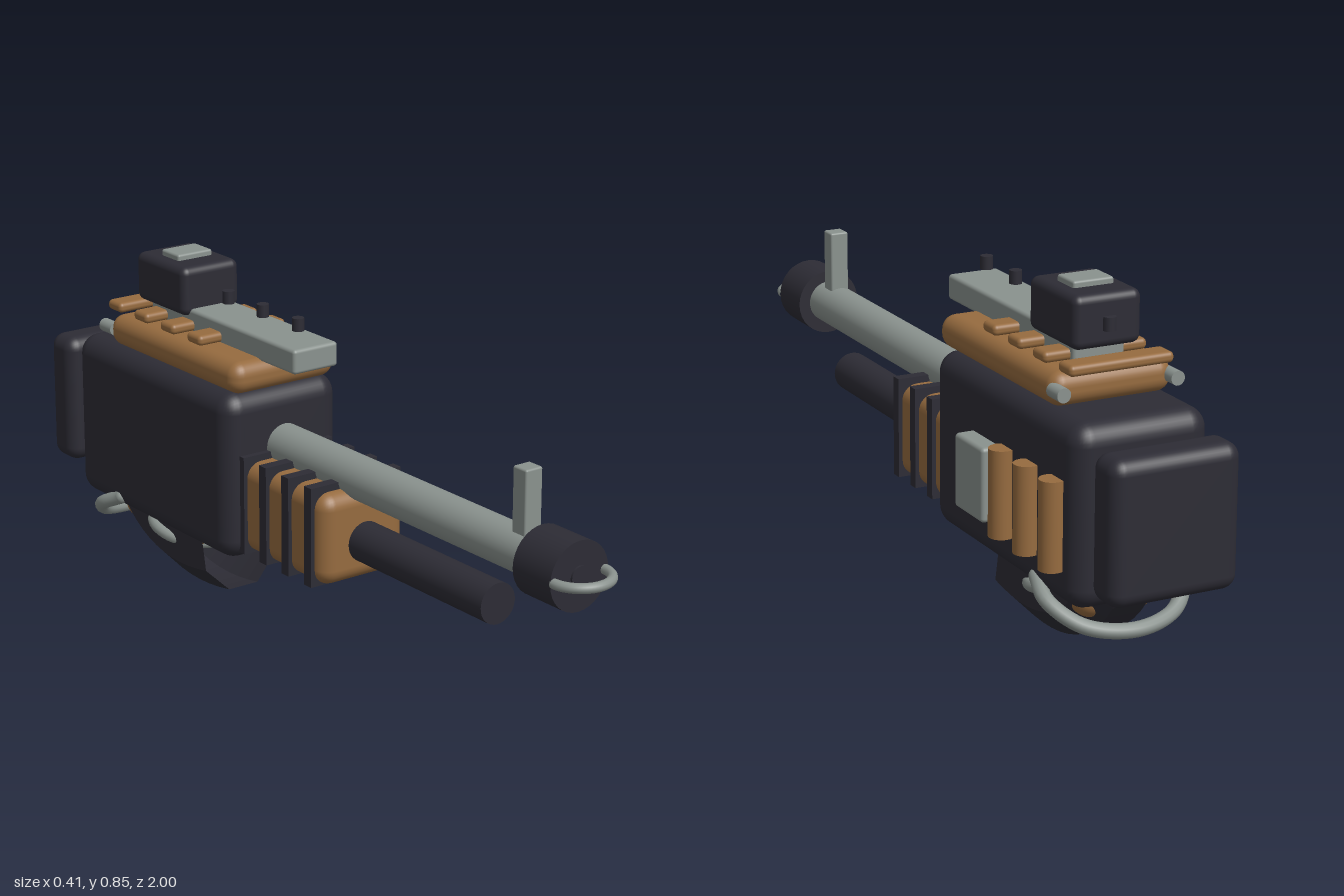
import * as THREE from 'three';
import { RoundedBoxGeometry } from 'three/addons/geometries/RoundedBoxGeometry.js';

const CX = -0.015; // centre plane of the body

export function createModel() {
  const model = new THREE.Group();
  model.name = 'heavyRifle';

  const material = (name, color) => {
    const m = new THREE.MeshStandardMaterial({ color });
    m.name = name;
    return m;
  };
  const dark = material('darkMetal', 0x2d2c35);
  const brown = material('bronze', 0x966b3f);
  const grey = material('greySteel', 0x8a928e);
  dark.side = THREE.DoubleSide; // the magazine is an open tube

  const add = (name, geometry, mat, x = 0, y = 0, z = 0) => {
    const mesh = new THREE.Mesh(geometry, mat);
    mesh.name = name;
    mesh.position.set(x, y, z);
    model.add(mesh);
    return mesh;
  };
  // Box from its bounds; r rounds the edges
  const box = (name, mat, [x0, x1], [y0, y1], [z0, z1], r = 0) => {
    const size = [x1 - x0, y1 - y0, z1 - z0];
    const geometry = r ? new RoundedBoxGeometry(...size, 4, r) : new THREE.BoxGeometry(...size);
    return add(name, geometry, mat, (x0 + x1) / 2, (y0 + y1) / 2, (z0 + z1) / 2);
  };
  // Cylinder along z
  const rod = (name, mat, r, y, z0, z1, x = CX) =>
    add(name, new THREE.CylinderGeometry(r, r, z1 - z0, 32).rotateX(Math.PI / 2), mat, x, y, (z0 + z1) / 2);

  // Body and stock
  box('receiver', dark, [-0.185, 0.155], [0.175, 0.6], [-0.855, -0.17], 0.05);
  box('stockPad', dark, [-0.175, 0.145], [0.23, 0.565], [-1, -0.895], 0.035);

  // Barrel, muzzle and front sight
  rod('barrel', grey, 0.053, 0.452, -0.25, 0.8);
  rod('muzzle', dark, 0.083, 0.45, 0.79, 0.915);
  rod('bore', dark, 0.025, 0.45, 0.9, 0.92);
  add('muzzleRing', new THREE.TorusGeometry(0.073, 0.012, 12, 32, Math.PI).rotateX(Math.PI / 2),
    grey, CX, 0.45, 0.913);
  box('frontSight', grey, [-0.039, 0.009], [0.49, 0.653], [0.714, 0.76], 0.005);

  // Lower tube and ribbed handguard
  rod('lowerTube', dark, 0.05, 0.298, 0.1, 0.645);
  box('handguard', brown, [-0.138, 0.108], [0.2, 0.43], [-0.2, 0.155], 0.04);
  for (const z of [0.104, 0.013, -0.078, -0.169])
    box('handguardRib', dark, [-0.148, 0.118], [0.198, 0.447], [z - 0.014, z + 0.014]);

  // Top cover with cross bars, rail and pins
  box('topCover', brown, [-0.168, 0.138], [0.6, 0.68], [-0.72, -0.16], 0.035);
  for (let i = 0; i < 4; i++) {
    const z = -0.725 + i * 0.118;
    box('coverBar', brown, [-0.145, 0.115], [0.68, 0.706], [z - 0.03, z + 0.03], 0.011);
  }
  for (const side of [-1, 1])
    rod('coverStud', grey, 0.017, 0.642, -0.75, -0.7, CX + side * 0.142);
  box('rail', grey, [-0.08, 0.05], [0.672, 0.733], [-0.65, -0.04], 0.009);
  for (let i = 0; i < 5; i++)
    add('railPin', new THREE.CylinderGeometry(0.015, 0.015, 0.032, 16), dark, CX, 0.771, -0.113 - i * 0.145);

  // Rear sight block
  box('sightBlock', dark, [-0.1, 0.07], [0.714, 0.838], [-0.69, -0.475], 0.02);
  box('sightCap', grey, [-0.066, 0.036], [0.825, 0.853], [-0.622, -0.546], 0.006);

  // Plate and grips on the left side
  box('sidePlate', grey, [0.14, 0.2], [0.283, 0.46], [-0.508, -0.37], 0.01);
  for (const z of [-0.54, -0.657, -0.774])
    add('sideGrip', new THREE.CylinderGeometry(0.03, 0.03, 0.208, 24), brown, 0.168, 0.365, z);

  // Curved magazine: an open octagonal tube bent along a curve
  const path = new THREE.QuadraticBezierCurve(
    new THREE.Vector2(-0.373, 0.125), new THREE.Vector2(-0.65, 0.07), new THREE.Vector2(-0.75, 0.27));
  let shell = new THREE.CylinderGeometry(0.114, 0.114, 1, 8, 14, true, Math.PI / 8);
  const p = shell.attributes.position;
  for (let i = 0; i < p.count; i++) {
    const t = THREE.MathUtils.clamp(0.5 - p.getY(i), 0, 1);
    const c = path.getPoint(t), d = path.getTangent(t), h = p.getZ(i);
    p.setXYZ(i, p.getX(i), c.y - d.x * h, c.x + d.y * h);
  }
  shell = shell.toNonIndexed();
  shell.computeVertexNormals();
  add('magazine', shell, dark, CX);
  box('magazineCore', brown, [-0.115, 0.085], [0.11, 0.25], [-0.765, -0.43], 0.045);
  const ring = add('magazineRing', new THREE.TorusGeometry(0.11, 0.015, 12, 40).rotateX(Math.PI / 2),
    grey, CX, 0.135, -0.562);
  ring.rotation.x = 0.2;

  // Carrying loop under the rear
  const half = [[0.16, 0.205, -0.665], [0.172, 0.172, -0.735], [0.115, 0.125, -0.802]];
  const points = [
    ...half.map(([x, y, z]) => new THREE.Vector3(-x, y, z)),
    new THREE.Vector3(0, 0.108, -0.832),
    ...half.slice().reverse().map(([x, y, z]) => new THREE.Vector3(x, y, z)),
  ];
  add('carryLoop', new THREE.TubeGeometry(new THREE.CatmullRomCurve3(points), 48, 0.018, 12), grey, CX);
  for (const [x, y, z] of [points[0], points[6]].map((v) => v.toArray()))
    add('loopEnd', new THREE.SphereGeometry(0.018, 12, 8), grey, CX + x, y, z);

  return model;
}
